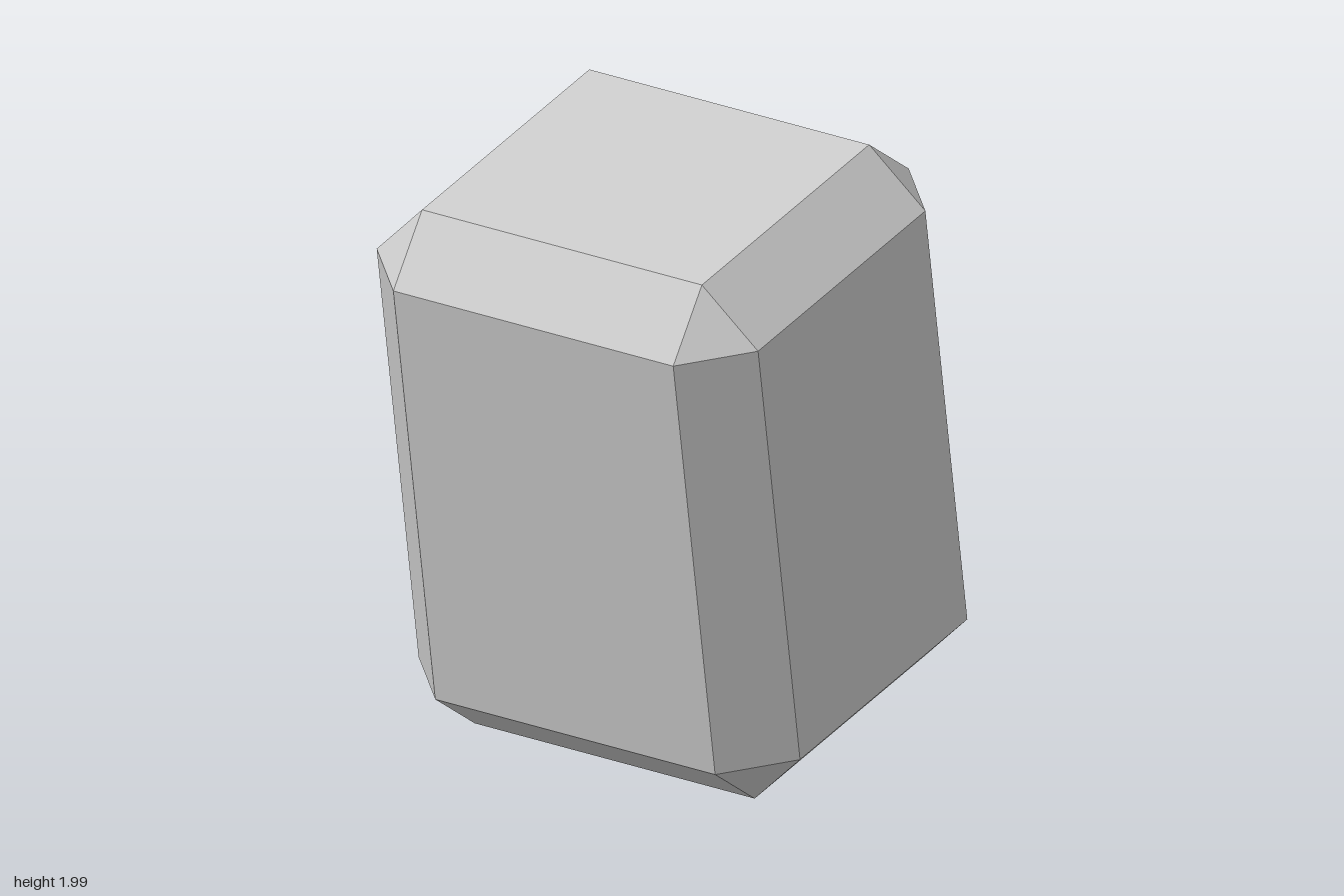
import * as THREE from 'three';
import { ConvexGeometry } from 'three/addons/geometries/ConvexGeometry.js';

// Box with evenly chamfered edges and triangular corners; hx, hy, hz are the inner half sizes
function chamferedBox(hx, hy, hz, c) {
  const points = [];
  for (const x of [-1, 1]) for (const y of [-1, 1]) for (const z of [-1, 1]) {
    const corner = new THREE.Vector3(x * hx, y * hy, z * hz);
    points.push(
      corner.clone().add(new THREE.Vector3(x * c, 0, 0)),
      corner.clone().add(new THREE.Vector3(0, y * c, 0)),
      corner.clone().add(new THREE.Vector3(0, 0, z * c))
    );
  }
  return new ConvexGeometry(points);
}

export function createModel() {
  const group = new THREE.Group();
  const material = new THREE.MeshStandardMaterial({ color: 0xcccccc, flatShading: true });

  // Tilted block
  const block = new THREE.Mesh(chamferedBox(0.4535, 0.7185, 0.51, 0.185), material);
  block.name = 'chamferedBlock';
  const up = new THREE.Vector3(-0.146, 0.978, 0.153).normalize();
  const side = new THREE.Vector3(0.788, 0.209, -0.579);
  side.addScaledVector(up, -side.dot(up)).normalize();
  const depth = new THREE.Vector3().crossVectors(side, up);
  block.quaternion.setFromRotationMatrix(new THREE.Matrix4().makeBasis(side, up, depth));
  block.position.y = 1;
  group.add(block);

  return group;
}
